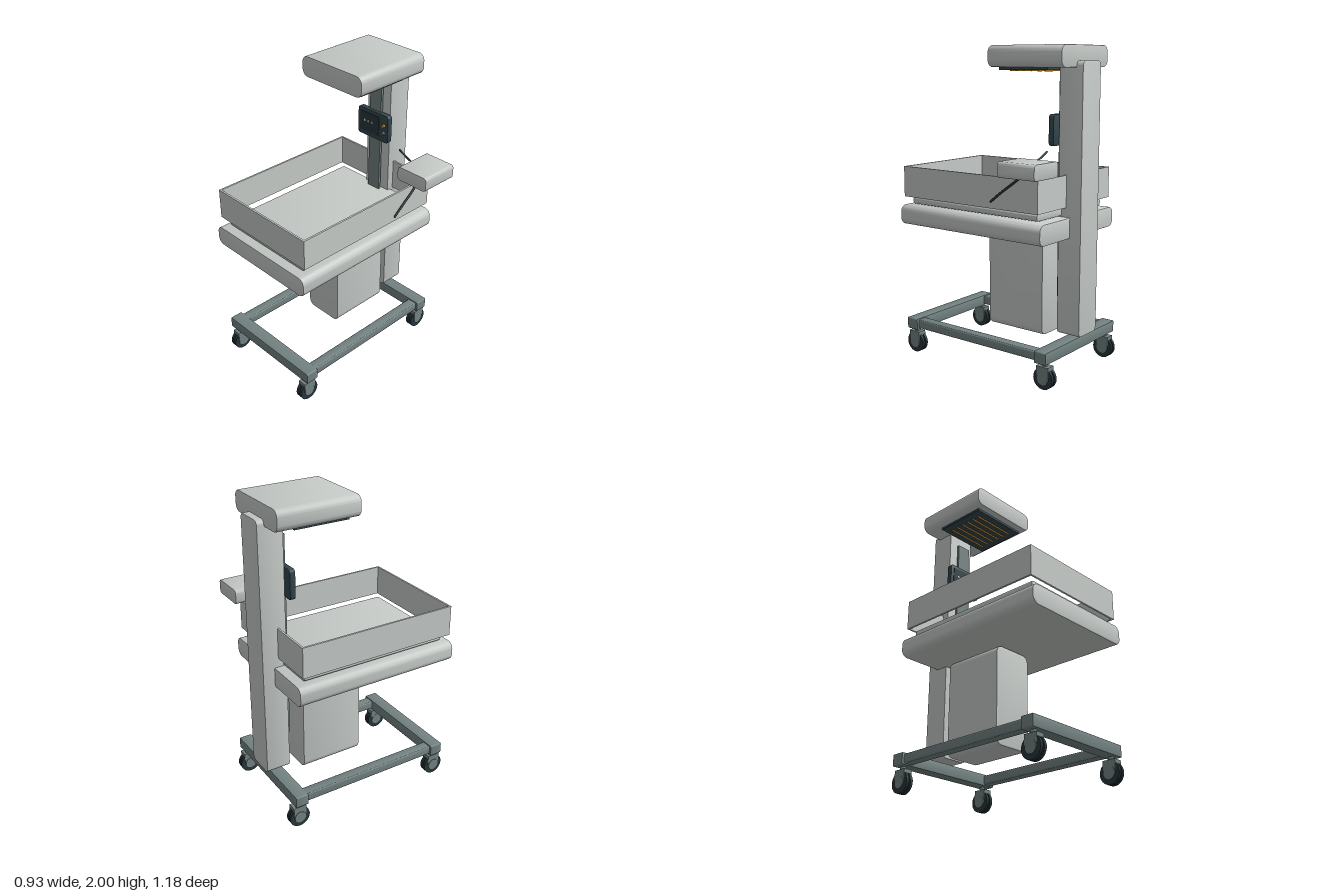
import * as THREE from 'three';
import { toCreasedNormals } from 'three/addons/utils/BufferGeometryUtils.js';

const mat = (name, color, side = THREE.FrontSide) => {
  const m = new THREE.MeshStandardMaterial({ color, side });
  m.name = name;
  return m;
};

export function createModel() {
  const model = new THREE.Group();
  model.name = 'infantWarmer';
  const shell = mat('paleShell', 0xc6cbc8);
  const steel = mat('greySteel', 0x738382);
  const dark = mat('darkPlastic', 0x33464c);
  const black = mat('blackRubber', 0x27363b);
  const amber = mat('amber', 0xd9962f);
  const white = mat('paleMark', 0xd5dcdc);

  const add = (name, geo, material, parent = model) => {
    const mesh = new THREE.Mesh(geo, material);
    mesh.name = name;
    parent.add(mesh);
    return mesh;
  };

  const box = (name, [x0, x1], [y0, y1], [z0, z1], material, parent) => {
    const mesh = add(name, new THREE.BoxGeometry(x1 - x0, y1 - y0, z1 - z0), material, parent);
    mesh.position.set((x0 + x1) / 2, (y0 + y1) / 2, (z0 + z1) / 2);
    return mesh;
  };

  // Block with a rounded front outline and a fine bevel at front and back
  const slab = (name, [x0, x1], [y0, y1], [z0, z1], r, material, parent, b = 0.006) => {
    const w = (x1 - x0) / 2 - b, h = (y1 - y0) / 2 - b;
    const q = Math.max(r - b, 0.002);
    const s = new THREE.Shape();
    s.absarc(w - q, h - q, q, 0, Math.PI / 2);
    s.absarc(-w + q, h - q, q, Math.PI / 2, Math.PI);
    s.absarc(-w + q, -h + q, q, Math.PI, Math.PI * 1.5);
    s.absarc(w - q, -h + q, q, Math.PI * 1.5, Math.PI * 2);
    s.closePath();
    const geo = new THREE.ExtrudeGeometry(s, {
      depth: z1 - z0 - 2 * b, bevelSize: b, bevelThickness: b, bevelSegments: 2, curveSegments: 6,
    });
    const mesh = add(name, toCreasedNormals(geo, 0.6), material, parent);
    mesh.position.set((x0 + x1) / 2, (y0 + y1) / 2, z0 + b);
    return mesh;
  };

  // Column, rail and pedestal
  slab('column', [-0.16, 0.035], [0.26, 1.91], [-0.587, -0.425], 0.03, shell);
  box('rail', [-0.11, -0.015], [0.48, 1.79], [-0.408, -0.392], steel);
  slab('pedestal', [-0.2, 0.077], [0.235, 0.86], [-0.345, 0.07], 0.045, shell);

  // Heater head with glowing rods beneath
  slab('heaterHead', [-0.31, 0.187], [1.87, 2.0], [-0.542, -0.008], 0.045, shell);
  box('heaterPanel', [-0.258, 0.135], [1.855, 1.872], [-0.41, -0.055], dark);
  for (let i = 0; i < 6; i++) {
    const rod = add('heaterRod', new THREE.CylinderGeometry(0.006, 0.006, 0.3, 10), amber);
    rod.rotation.z = Math.PI / 2;
    rod.position.set(-0.06, 1.853, -0.11 - i * 0.05);
  }

  // Bed deck, mattress and surrounding walls
  slab('bedDeck', [-0.465, 0.34], [0.865, 0.992], [-0.51, 0.592], 0.045, shell);
  slab('mattress', [-0.408, 0.283], [0.998, 1.046], [-0.45, 0.534], 0.018, shell);
  const t = 0.012;
  for (const [z0, z1] of [[-0.483, -0.483 + t], [0.567 - t, 0.567]])
    box('endWall', [-0.452, 0.326], [1.05, 1.245], [z0, z1], shell);
  for (const [x0, x1] of [[-0.452, -0.452 + t], [0.326 - t, 0.326]])
    box('sideWall', [x0, x1], [1.05, 1.245], [-0.483 + t, 0.567 - t], shell);

  // Control panel
  const control = new THREE.Group();
  control.name = 'controlPanel';
  model.add(control);
  slab('panelBody', [-0.193, 0.067], [1.413, 1.6], [-0.41, -0.372], 0.02, dark, control);
  box('screen', [-0.17, -0.01], [1.445, 1.575], [-0.373, -0.368], black, control);
  for (let i = 0; i < 3; i++)
    box('reading', [-0.135 + i * 0.03, -0.123 + i * 0.03], [1.512, 1.526], [-0.369, -0.366], white, control);
  [[1.53, amber], [1.48, steel]].forEach(([y, m]) => {
    const button = add('button', new THREE.CylinderGeometry(0.011, 0.011, 0.014, 16), m, control);
    button.rotation.x = Math.PI / 2;
    button.position.set(0.032, y, -0.366);
  });

  // Side unit with its arm and hose
  slab('sideUnit', [0.23, 0.46], [1.26, 1.353], [-0.555, -0.295], 0.022, shell, model, 0.004);
  const tube = (name, points, r) => {
    const curve = new THREE.CatmullRomCurve3(points.map((p) => new THREE.Vector3(...p)));
    add(name, new THREE.TubeGeometry(curve, 24, r, 8), black);
    [0, 1].forEach((u) => {
      const cap = add(name + 'End', new THREE.SphereGeometry(r, 8, 6), black);
      cap.position.copy(curve.getPoint(u));
    });
  };
  tube('sideArm', [[0.138, 1.388, -0.412], [0.19, 1.362, -0.412], [0.25, 1.337, -0.412]], 0.006);
  tube('hose', [[0.333, 1.265, -0.38], [0.342, 1.21, -0.31], [0.344, 1.16, -0.24], [0.345, 1.097, -0.16]], 0.007);

  // Base frame
  for (const [z0, z1] of [[-0.547, -0.46], [0.48, 0.567]])
    slab('crossBar', [-0.45, 0.325], [0.165, 0.24], [z0, z1], 0.008, steel);
  for (const x of [-0.4, 0.275])
    slab('sideRail', [x - 0.035, x + 0.035], [0.173, 0.233], [-0.47, 0.49], 0.012, steel);

  // Casters: twin wheels, hub caps, fork housing and stem
  for (const x of [-0.4, 0.273]) for (const z of [-0.507, 0.527]) {
    const caster = new THREE.Group();
    caster.name = 'caster';
    caster.position.set(x, 0, z);
    model.add(caster);
    const disc = (name, r, len, dx, m) => {
      const d = add(name, new THREE.CylinderGeometry(r, r, len, 28), m, caster);
      d.rotation.z = Math.PI / 2;
      d.position.set(dx, 0.069, 0);
    };
    for (const s of [-1, 1]) {
      disc('wheel', 0.068, 0.018, s * 0.014, black);
      disc('hubCap', 0.038, 0.008, s * 0.025, steel);
    }
    disc('axle', 0.02, 0.05, 0, steel);
    box('forkHousing', [-0.026, 0.032], [0.085, 0.145], [-0.043, 0.043], steel, caster);
    const stem = add('stem', new THREE.CylinderGeometry(0.018, 0.018, 0.04, 16), steel, caster);
    stem.position.y = 0.155;
  }
  return model;
}
